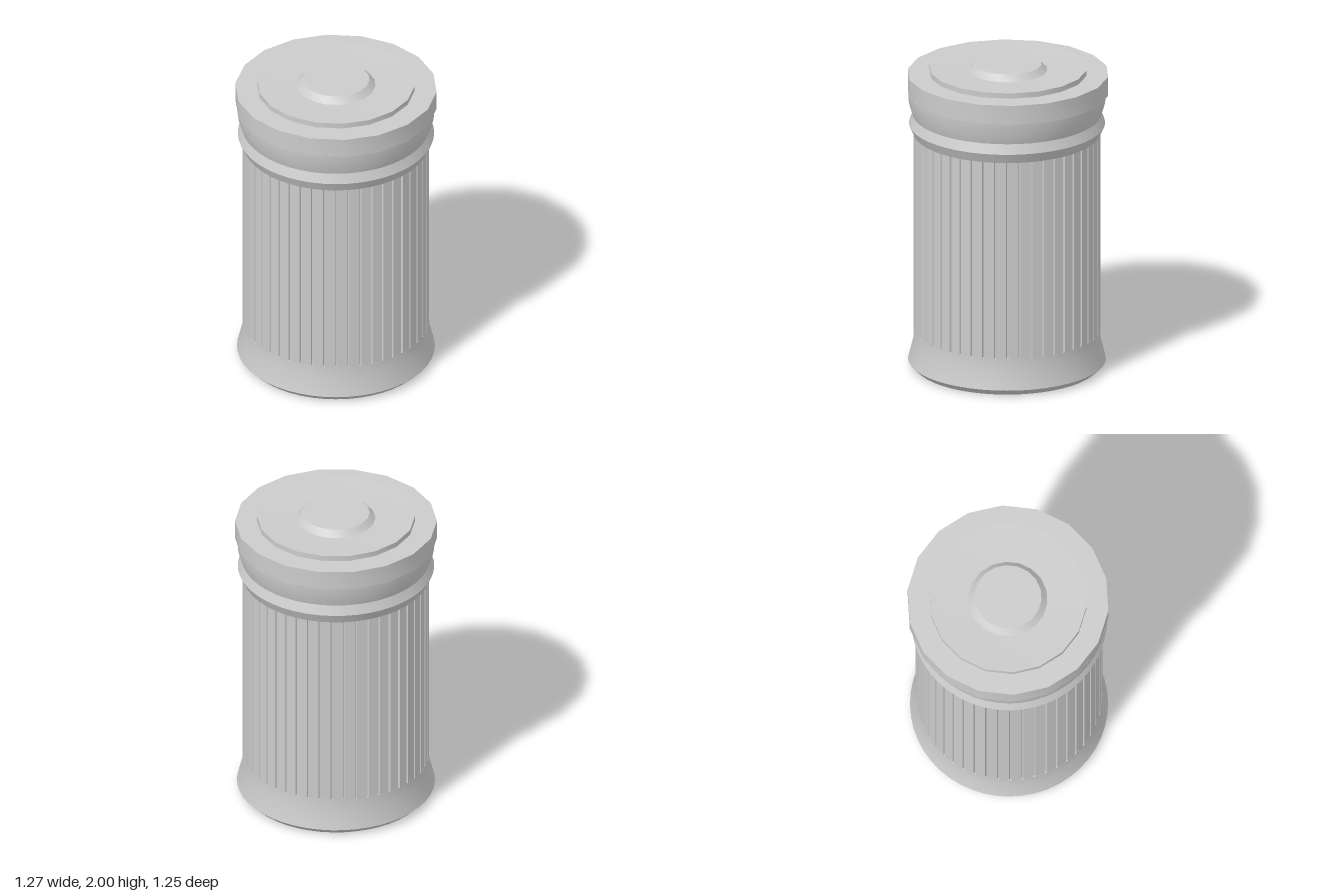
import * as THREE from 'three';
import { toCreasedNormals } from 'three/addons/utils/BufferGeometryUtils.js';

const grey = () => new THREE.MeshStandardMaterial({ color: 0xcccccc });

// Turned part from [radius, height] pairs, with sharp edges kept
function turned(name, profile, sides, phase = 0) {
  const points = profile.map(([r, y]) => new THREE.Vector2(r, y));
  const geometry = new THREE.LatheGeometry(points, sides, phase);
  const mesh = new THREE.Mesh(toCreasedNormals(geometry, 0.4), grey());
  mesh.name = name;
  return mesh;
}

// Ring of flat panels parted by narrow grooves
function flutedWall(y0, y1, count, outer, inner) {
  const shape = new THREE.Shape();
  const step = (Math.PI * 2) / count;
  const section = [[-0.09, outer], [-0.03, inner], [0.03, inner], [0.09, outer]];
  for (let i = 0; i < count; i++) {
    section.forEach(([offset, r], k) => {
      const a = (i + offset) * step;
      const x = r * Math.cos(a), y = r * Math.sin(a);
      if (i + k === 0) shape.moveTo(x, y);
      else shape.lineTo(x, y);
    });
  }
  shape.closePath();
  const geometry = new THREE.ExtrudeGeometry(shape, { depth: y1 - y0, bevelEnabled: false });
  geometry.rotateX(-Math.PI / 2).translate(0, y0, 0);
  const material = grey();
  material.flatShading = true;
  const mesh = new THREE.Mesh(geometry, material);
  mesh.name = 'flutedWall';
  return mesh;
}

export function createModel() {
  const model = new THREE.Group();
  model.name = 'trashCan';

  // Can body
  const body = new THREE.Group();
  body.name = 'body';
  body.position.set(-0.004, 0, 0.004);
  body.add(
    turned('base', [[0, 0], [0.58, 0], [0.621, 0.04], [0.588, 0.17], [0.586, 0.24], [0.55, 0.24]], 48),
    flutedWall(0.235, 1.55, 48, 0.585, 0.573),
    turned('collar', [
      [0.55, 1.54], [0.586, 1.54], [0.616, 1.605], [0.592, 1.667],
      [0.616, 1.745], [0.62, 1.815], [0, 1.815],
    ], 48),
  );
  model.add(body);

  // Lid with raised disc and central knob, a corner pointing along x
  const lid = new THREE.Group();
  lid.name = 'lid';
  lid.position.set(-0.002, 0, -0.002);
  const phase = Math.PI / 2;
  lid.add(
    turned('lidRim', [[0, 1.81], [0.633, 1.81], [0.633, 1.935], [0, 1.935]], 18, phase),
    turned('lidDisc', [[0.495, 1.93], [0.495, 1.97], [0.25, 1.957], [0, 1.957]], 18, phase),
    turned('lidKnob', [[0.25, 1.955], [0.211, 1.997], [0, 2]], 18, phase),
  );
  model.add(lid);

  return model;
}
